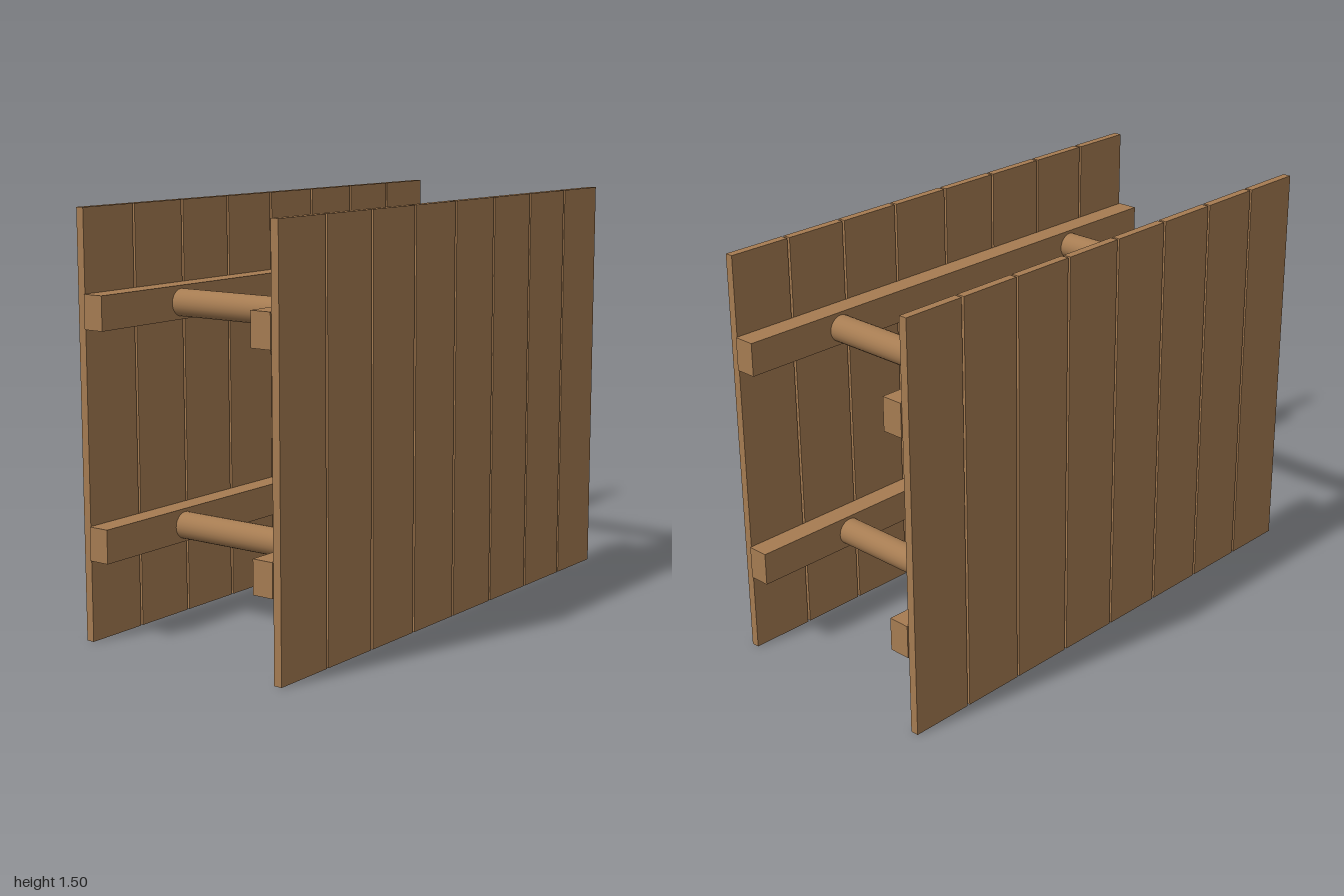
import * as THREE from 'three';

export function createModel() {
  const model = new THREE.Group();
  const wood = new THREE.MeshStandardMaterial({ color: 0xa67c52 });
  wood.name = 'wood';

  const add = (name, geometry, x, y, z) => {
    const mesh = new THREE.Mesh(geometry, wood);
    mesh.name = name;
    mesh.position.set(x, y, z);
    model.add(mesh);
  };

  const plank = new THREE.BoxGeometry(0.24, 1.5, 0.03);
  const rail = new THREE.BoxGeometry(2, 0.12, 0.08);
  const post = new THREE.CylinderGeometry(0.049, 0.049, 0.64, 24).rotateX(Math.PI / 2);
  const heights = [0.35, 1.15];

  // Two plank walls, each with a pair of rails on its inner side
  for (const [side, s] of [['front', 1], ['back', -1]]) {
    for (let i = 0; i < 8; i++) add(side + 'Plank', plank, -0.875 + i * 0.25, 0.75, s * 0.415);
    for (const y of heights) add(side + 'Rail', rail, 0, y, s * 0.36);
  }

  // Round spacers joining the walls
  for (const y of heights) {
    for (const x of [-0.6, 0.6]) add('spacer', post, x, y, 0);
  }
  return model;
}
